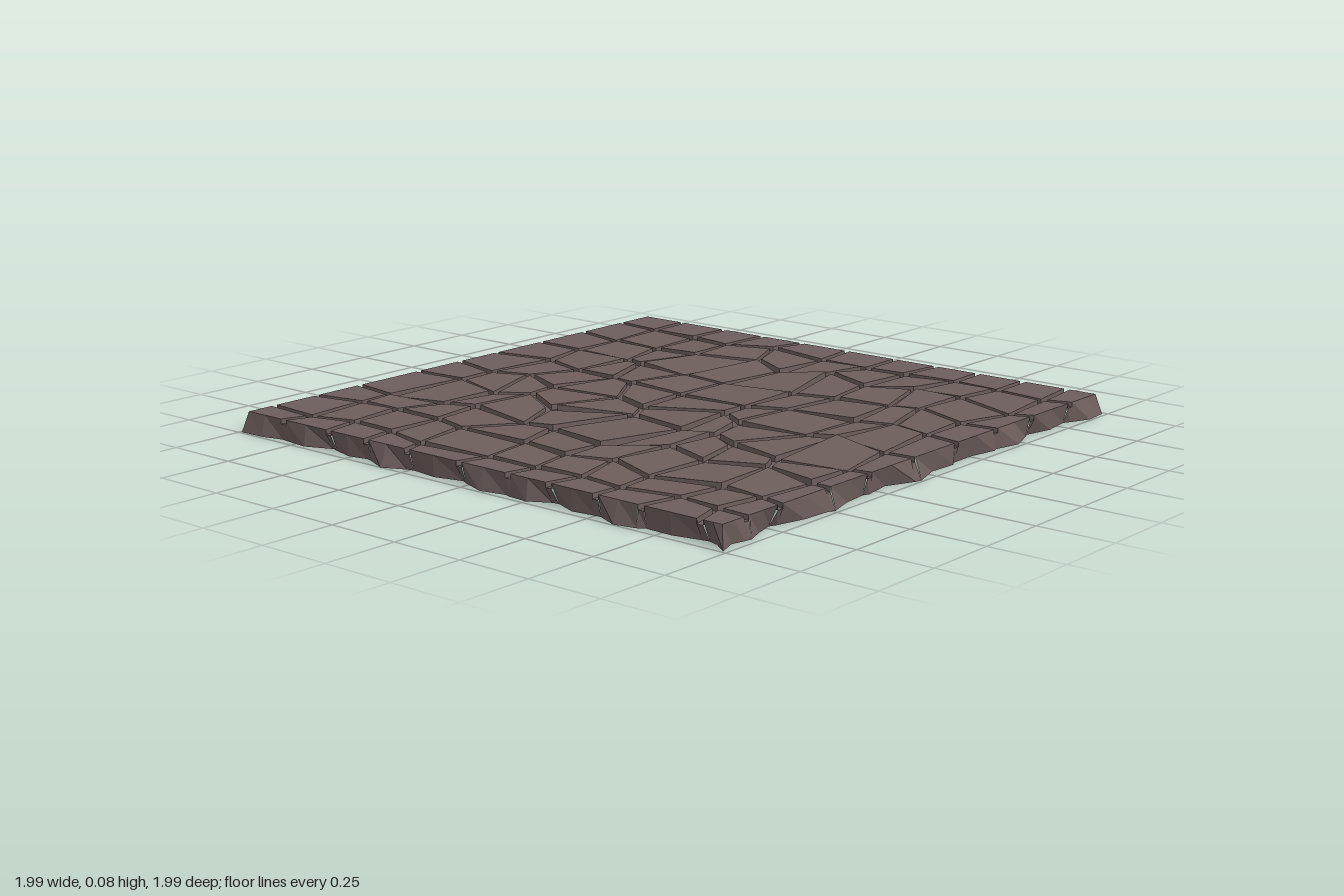
import * as THREE from 'three';

const LO = -0.975, HI = 0.968;      // edges of the paved top
const TOP = 0.068, FLOOR = 0.052;   // stone top and groove floor heights
const HALF = 0.011;                 // half the groove width
const JITTER = 0.068;

// Where the grooves meet the four edges
const backX = [LO, -0.87, -0.69, -0.5, -0.23, -0.03, 0.15, 0.38, 0.61, 0.82, HI];
const frontX = [LO, -0.87, -0.72, -0.5, -0.3, -0.08, 0.15, 0.37, 0.58, 0.81, HI];
const leftZ = [LO, -0.81, -0.6, -0.43, -0.25, -0.03, 0.17, 0.33, 0.51, 0.68, 0.89, HI];
const rightZ = [LO, -0.8, -0.6, -0.42, -0.24, -0.04, 0.17, 0.34, 0.51, 0.69, 0.86, HI];
const NX = backX.length - 1, NZ = leftZ.length - 1;

function seeded(seed) {
  return () => {
    seed = (seed * 1664525 + 1013904223) % 4294967296;
    return seed / 4294967296;
  };
}

// Collects flat-shaded quads
class Quads {
  constructor() { this.pos = []; }
  add(a, b, c, d) {
    for (const p of [a, b, c, a, c, d]) this.pos.push(...p);
  }
  mesh(name, material) {
    const g = new THREE.BufferGeometry();
    g.setAttribute('position', new THREE.Float32BufferAttribute(this.pos, 3));
    g.computeVertexNormals();
    const m = new THREE.Mesh(g, material);
    m.name = name;
    return m;
  }
}

// Moves each side of a quad inward by its own distance
function inset(poly, dist) {
  const normal = k => {
    const p = poly[k], q = poly[(k + 1) % 4];
    const dx = q[0] - p[0], dz = q[1] - p[1], l = Math.hypot(dx, dz);
    return [dz / l, -dx / l];
  };
  return poly.map((p, k) => {
    const j = (k + 3) % 4, a = normal(j), b = normal(k);
    const det = a[0] * b[1] - a[1] * b[0];
    return [
      p[0] + (dist[j] * b[1] - dist[k] * a[1]) / det,
      p[1] + (a[0] * dist[k] - b[0] * dist[j]) / det,
    ];
  });
}

// Foot of the rough outer wall below an edge point
function foot([x, z]) {
  const wave = t => -0.004 + 0.03 * Math.sin(23 * t + 1) * Math.sin(9.7 * t + 2);
  const onEdge = v => v < LO + 0.001 ? -1 : v > HI - 0.001 ? 1 : 0;
  const sx = onEdge(x), sz = onEdge(z);
  if (sx && sz) return [x + sx * 0.018, 0, z + sz * 0.018];
  return [x + sx * wave(z + sx), 0, z + sz * wave(x + 2 * sz)];
}

export function createModel() {
  const material = new THREE.MeshStandardMaterial({ color: 0x6d5e5b, side: THREE.DoubleSide });
  material.name = 'brown stone';
  const rand = seeded(41);
  const jit = () => (rand() * 2 - 1) * JITTER;

  // Jittered grid of groove crossings
  const node = [];
  for (let i = 0; i <= NX; i++) {
    node.push([]);
    for (let j = 0; j <= NZ; j++) {
      const x = THREE.MathUtils.lerp(backX[i], frontX[i], j / NZ);
      const z = THREE.MathUtils.lerp(leftZ[j], rightZ[j], i / NX);
      const inside = i > 0 && j > 0 && i < NX && j < NZ;
      // crossings near the narrow border cells move less
      const k = Math.min(1, (HI - Math.abs(x)) / 0.2, (HI - Math.abs(z)) / 0.2);
      node[i].push(inside ? [x + jit() * k, z + jit() * k] : [x, z]);
    }
  }

  const stones = new Quads(), grooves = new Quads(), skirt = new Quads();
  const low = p => [p[0], FLOOR, p[1]];
  const wall = (a, b) => skirt.add(a, foot([a[0], a[2]]), foot([b[0], b[2]]), b);

  // Stones: slightly tilted tops and sides down to the grooves
  const cell = [];
  for (let i = 0; i < NX; i++) {
    cell.push([]);
    for (let j = 0; j < NZ; j++) {
      const border = [i === 0, j === NZ - 1, i === NX - 1, j === 0];
      const c = inset(
        [node[i][j], node[i][j + 1], node[i + 1][j + 1], node[i + 1][j]],
        border.map(b => (b ? 0 : HALF)));
      cell[i].push(c);

      const tilt = border.some(b => b) ? 0 : 0.045;
      const tx = (rand() * 2 - 1) * tilt, tz = (rand() * 2 - 1) * tilt;
      const cx = (c[0][0] + c[2][0]) / 2, cz = (c[0][1] + c[2][1]) / 2;
      const t = c.map(p => [p[0], TOP + (p[0] - cx) * tx + (p[1] - cz) * tz, p[1]]);
      stones.add(...t);

      for (let k = 0; k < 4; k++) {
        const n = (k + 1) % 4;
        if (border[k]) {
          const mid = t[k].map((v, a) => (v + t[n][a]) / 2);
          wall(t[k], mid);
          wall(mid, t[n]);
        } else {
          stones.add(t[k], low(c[k]), low(c[n]), t[n]);
        }
      }
    }
  }

  // Groove floors between stones and at their crossings
  const floor = (...pts) => grooves.add(...pts.map(low));
  for (let i = 0; i < NX; i++) {
    for (let j = 0; j < NZ; j++) {
      const a = cell[i][j];
      const right = i < NX - 1 && cell[i + 1][j];
      const below = j < NZ - 1 && cell[i][j + 1];
      if (right) floor(a[3], a[2], right[1], right[0]);
      if (below) floor(a[1], below[0], below[3], a[2]);
      if (right && below) floor(a[2], below[3], cell[i + 1][j + 1][0], right[1]);

      // Outer wall below the groove ends
      if (below && i === 0) wall(low(a[1]), low(below[0]));
      if (below && i === NX - 1) wall(low(below[3]), low(a[2]));
      if (right && j === NZ - 1) wall(low(a[2]), low(right[1]));
      if (right && j === 0) wall(low(right[0]), low(a[3]));
    }
  }

  const group = new THREE.Group();
  group.name = 'stonePaving';
  group.add(
    stones.mesh('pavingStones', material),
    grooves.mesh('grooveFloors', material),
    skirt.mesh('roughOuterWall', material));
  return group;
}
